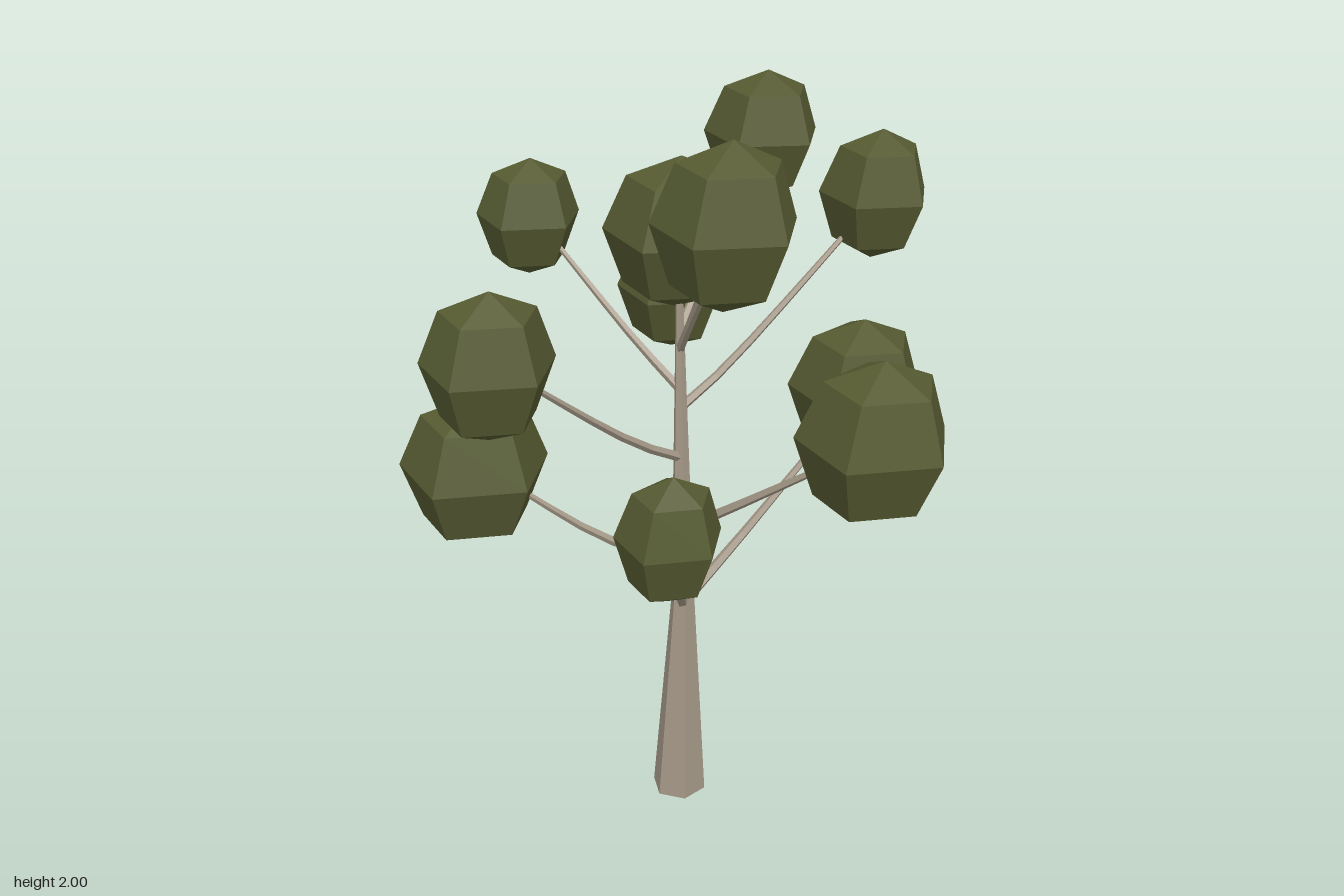
import * as THREE from 'three';

const bark = new THREE.MeshStandardMaterial({ color: 0xa59988 });
bark.name = 'bark';
const leaf = new THREE.MeshStandardMaterial({ color: 0x555a31 });
leaf.name = 'leaf green';

// Depth of the trunk's centre line at height y
const trunkZ = y => (y < 0.63 ? -0.065 + 0.036 * y : -0.042 - 0.015 * (y - 0.63));

// Split shared corners so that every face is flat
function faceted(geometry) {
  const g = geometry.toNonIndexed();
  g.computeVertexNormals();
  return g;
}

// Six-sided tapering trunk that follows the centre line
function makeTrunk() {
  const profile = [[0, 0], [0.076, 0], [0.033, 0.63], [0.02, 1.1], [0.012, 1.4], [0.008, 1.62]]
    .map(([r, y]) => new THREE.Vector2(r, y));
  const g = new THREE.LatheGeometry(profile, 6).rotateY(0.7);
  const p = g.attributes.position;
  for (let i = 0; i < p.count; i++) p.setZ(i, p.getZ(i) + trunkZ(p.getY(i)));
  return faceted(g);
}

// Bent branch from the trunk to a leaf ball, thinning toward its tip
function makeBranch(startY, bend, end) {
  const curve = new THREE.CatmullRomCurve3([
    new THREE.Vector3(0, startY, trunkZ(startY)), new THREE.Vector3(...bend), new THREE.Vector3(...end),
  ]);
  const steps = 6, sides = 5;
  const baseRadius = 0.02 - 0.006 * startY, tipRadius = 0.006;
  const g = new THREE.TubeGeometry(curve, steps, 1, sides);
  const p = g.attributes.position, v = new THREE.Vector3();
  for (let i = 0; i < p.count; i++) {
    const t = Math.floor(i / (sides + 1)) / steps;
    const centre = curve.getPointAt(t);
    v.fromBufferAttribute(p, i).sub(centre)
      .multiplyScalar(THREE.MathUtils.lerp(baseRadius, tipRadius, t)).add(centre);
    p.setXYZ(i, v.x, v.y, v.z);
  }
  return faceted(g);
}

// Five-sided leaf ball with a corner toward +x, slightly tilted
function makeLeafBall(centre, width, height) {
  const g = new THREE.SphereGeometry(1, 5, 4);
  g.rotateY(Math.PI).translate(-0.095, 0, 0);
  g.scale(width / 1.81, height / 2, width * 0.49);
  g.rotateZ(-0.04).rotateX(0.03).rotateY(-0.03);
  g.translate(...centre);
  return faceted(g);
}

// Each limb: leaf ball centre, width and height, then branch start height and bend
const limbs = [
  [[-0.575, 1.5, 0.09], 0.3, 0.36, 1.06, [-0.15, 1.15, -0.02]],
  [[-0.49, 1.1, -0.2], 0.36, 0.395, 0.76, [-0.19, 0.85, -0.095]],
  [[-0.265, 1.085, 0.345], 0.25, 0.33, 0.62, [-0.11, 0.79, 0.11]],
  [[-0.1, 1.805, 0.33], 0.325, 0.39, 1.36, [-0.03, 1.48, 0.05]],
  [[-0.155, 1.605, -0.515], 0.26, 0.31, 1.25, [-0.05, 1.35, -0.19]],
  [[0.34, 1.83, -0.17], 0.285, 0.32, 1.41, [0.1, 1.53, -0.1]],
  [[0.55, 1.69, 0.03], 0.275, 0.335, 1.2, [0.12, 1.28, -0.04]],
  [[0.215, 1.37, -0.4], 0.29, 0.335, 0.99, [0.075, 1.09, -0.17]],
  [[0.535, 1.155, 0.02], 0.355, 0.395, 0.62, [0.19, 0.79, -0.03]],
  [[0.24, 1.255, 0.465], 0.37, 0.42, 0.85, [0.07, 0.97, 0.11]],
];

export function createModel() {
  const tree = new THREE.Group();
  tree.name = 'tree';
  const add = (name, geometry, material) => {
    const mesh = new THREE.Mesh(geometry, material);
    mesh.name = name;
    tree.add(mesh);
  };
  add('trunk', makeTrunk(), bark);
  add('crownLeafBall', makeLeafBall([0.02, 1.66, -0.065], 0.345, 0.38), leaf);
  limbs.forEach(([centre, width, height, startY, bend], i) => {
    add(`branch${i + 1}`, makeBranch(startY, bend, centre), bark);
    add(`leafBall${i + 1}`, makeLeafBall(centre, width, height), leaf);
  });
  return tree;
}
